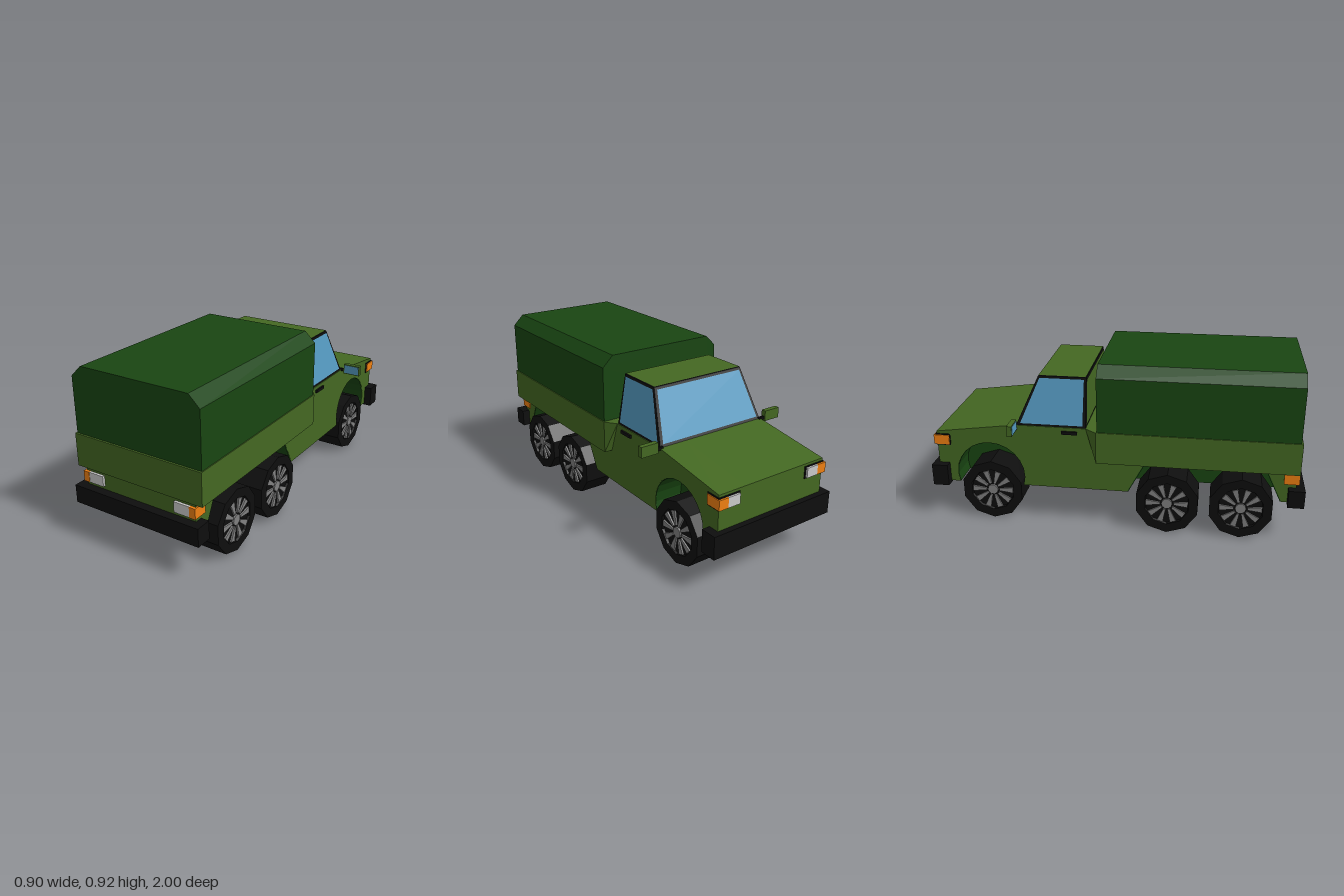
import * as THREE from 'three';
import { ConvexGeometry } from 'three/addons/geometries/ConvexGeometry.js';

const mat = (color, side = THREE.FrontSide) =>
  new THREE.MeshStandardMaterial({ color, flatShading: true, side });

const V = (x, y, z) => new THREE.Vector3(x, y, z);

export function createModel() {
  const green = mat(0x446822), canvas = mat(0x194512), black = mat(0x0e0e0e);
  const archGreen = mat(0x194512, THREE.DoubleSide);
  const glass = mat(0x559ac1), orange = mat(0xf08012), grey = mat(0xcccccc), alloy = mat(0x808080);
  const model = new THREE.Group();
  model.name = 'truck';

  const add = (name, geometry, material, parent = model) => {
    const mesh = new THREE.Mesh(geometry, material);
    mesh.name = name;
    parent.add(mesh);
    return mesh;
  };

  // Box given by its limits
  const box = (name, [x0, x1], [y0, y1], [z0, z1], material, parent) =>
    add(name, new THREE.BoxGeometry(Math.abs(x1 - x0), y1 - y0, z1 - z0)
      .translate((x0 + x1) / 2, (y0 + y1) / 2, (z0 + z1) / 2), material, parent);

  // Side outline of [z, y] points, extruded from x0 to x1
  const shapeOf = (pts) => new THREE.Shape(pts.map(([z, y]) => new THREE.Vector2(z, y)));
  const sideExtrude = (name, pts, x0, x1, material) =>
    add(name, new THREE.ExtrudeGeometry(shapeOf(pts), { depth: x1 - x0, bevelEnabled: false })
      .rotateY(-Math.PI / 2).translate(x1, 0, 0), material);

  // Wheel arch outlines, listed from nose to tail
  const frontArch = [];
  for (let i = 0; i <= 14; i++) {
    const a = THREE.MathUtils.degToRad(197 - (214 * i) / 14);
    frontArch.push([-0.68 + 0.19 * Math.cos(a), 0.2655 + 0.19 * Math.sin(a)]);
  }
  const rearArch = [[0.07, 0.21], [0.165, 0.39], [0.8, 0.39], [0.885, 0.21]];

  // Lower body: full core, with cut-out flanks on either side
  const bodyTop = [[0.955, 0.21], [0.955, 0.4], [-0.094, 0.4], [-0.15, 0.565], [-0.53, 0.565], [-0.97, 0.505]];
  sideExtrude('bodyCore', [[-0.97, 0.21], ...bodyTop], -0.17, 0.17, green);
  for (const s of [-1, 1]) {
    const [x0, x1] = s > 0 ? [0.17, 0.33] : [-0.33, -0.17];
    sideExtrude('bodyFlank', [[-0.97, 0.21], ...frontArch, ...rearArch, ...bodyTop], x0, x1, green);
    for (const [arch, cz] of [[frontArch, -0.68], [rearArch, 0.48]]) {
      const inner = arch.map(([z, y]) => [cz + (z - cz) * 0.985, 0.21 + (y - 0.21) * 0.985]);
      sideExtrude('archLiner', [...arch, ...inner.reverse()], x0 + 0.001, x1 - 0.001, archGreen);
      add('archWall', new THREE.ShapeGeometry(shapeOf(arch)).rotateY(-Math.PI / 2)
        .translate(s * 0.172, 0, 0), archGreen);
    }
  }

  // Load bed, tapering forward to the cab
  const bedPoints = [];
  for (const s of [-1, 1]) {
    for (const z of [-0.09, 0.965]) for (const y of [0.39, 0.565]) bedPoints.push(V(s * 0.375, y, z));
    bedPoints.push(V(s * 0.33, 0.565, -0.15));
  }
  add('loadBed', new ConvexGeometry(bedPoints), green);

  // Canvas cover with chamfered top edges
  const cover = new THREE.Shape([[-0.37, 0.56], [0.37, 0.56], [0.37, 0.86], [0.31, 0.918], [-0.31, 0.918], [-0.37, 0.86]]
    .map(([x, y]) => new THREE.Vector2(x, y)));
  add('canvasCover', new THREE.ExtrudeGeometry(cover, { depth: 1.04, bevelEnabled: false })
    .translate(0, 0, -0.085), canvas);

  // Cab: black frame with panels laid onto its faces
  const [B, T] = [0.565, 0.83];
  const cab = (s, top, rear) => top
    ? V(s * 0.277, T, rear ? -0.15 : -0.405)
    : V(s * 0.325, B, rear ? -0.15 : -0.525);
  const cabCorners = [];
  for (const s of [-1, 1]) for (const t of [0, 1]) for (const r of [0, 1]) cabCorners.push(cab(s, t, r));
  add('cabFrame', new ConvexGeometry(cabCorners), black);

  // Panel on a four-cornered face (counter-clockwise), inset by a margin
  const panel = (name, [a, b, c, d], margin, material) => {
    const normal = b.clone().sub(a).cross(d.clone().sub(a)).normalize().multiplyScalar(0.003);
    const u = margin / Math.min(a.distanceTo(b), c.distanceTo(d));
    const v = margin / a.distanceTo(d);
    const at = (p, q) => a.clone().lerp(b, p).lerp(d.clone().lerp(c, p), q).add(normal);
    const pts = [at(u, v), at(1 - u, v), at(1 - u, 1 - v), at(u, 1 - v)];
    const g = new THREE.BufferGeometry().setFromPoints(pts);
    g.setIndex([0, 1, 2, 0, 2, 3]);
    g.computeVertexNormals();
    add(name, g, material);
  };
  panel('windshield', [cab(1, 0, 0), cab(-1, 0, 0), cab(-1, 1, 0), cab(1, 1, 0)], 0.014, glass);
  panel('leftWindow', [cab(1, 0, 1), cab(1, 0, 0), cab(1, 1, 0), cab(1, 1, 1)], 0.012, glass);
  panel('rightWindow', [cab(-1, 0, 0), cab(-1, 0, 1), cab(-1, 1, 1), cab(-1, 1, 0)], 0.012, glass);
  panel('cabBack', [cab(-1, 0, 1), cab(1, 0, 1), cab(1, 1, 1), cab(-1, 1, 1)], 0.012, green);
  panel('cabRoof', [cab(-1, 1, 1), cab(1, 1, 1), cab(1, 1, 0), cab(-1, 1, 0)], 0.002, green);

  // Bumpers
  box('frontBumper', [-0.373, 0.373], [0.2, 0.32], [-1, -0.912], black);
  box('rearBumper', [-0.373, 0.373], [0.2, 0.297], [0.915, 1], black);

  // Lights, door handles and mirrors on both sides
  for (const s of [-1, 1]) {
    box('headlightHousing', [s * 0.208, s * 0.335], [0.427, 0.492], [-0.975, -0.895], black);
    box('headlight', [s * 0.215, s * 0.285], [0.433, 0.486], [-0.985, -0.96], grey);
    box('frontIndicator', [s * 0.285, s * 0.34], [0.433, 0.486], [-0.985, -0.9], orange);
    box('rearLight', [s * 0.215, s * 0.303], [0.317, 0.373], [0.94, 0.968], grey);
    box('rearIndicator', [s * 0.303, s * 0.338], [0.317, 0.373], [0.89, 0.97], orange);
    box('doorHandle', [s * 0.325, s * 0.34], [0.529, 0.546], [-0.28, -0.195], black);
    box('mirrorArm', [s * 0.315, s * 0.36], [0.558, 0.574], [-0.535, -0.522], black);
    box('mirror', [s * 0.35, s * 0.448], [0.549, 0.606], [-0.542, -0.515], green);
    box('mirrorGlass', [s * 0.355, s * 0.443], [0.554, 0.601], [-0.52, -0.513], glass);
  }

  // Wheels: ten-sided tyre with a shallow recess, spokes and hub cap
  const R = 0.172, W = 0.08;
  const tyre = new THREE.LatheGeometry(
    [[0, -W], [R, -W], [R, W], [0.122, W], [0.118, W - 0.012], [0, W - 0.012]]
      .map(([r, y]) => new THREE.Vector2(r, y)), 10, Math.PI / 10).rotateZ(-Math.PI / 2);
  const spoke = new THREE.ExtrudeGeometry(
    shapeOf([[-0.006, 0.036], [0.006, 0.036], [0.016, 0.112], [-0.016, 0.112]]),
    { depth: 0.01, bevelEnabled: false }).rotateY(-Math.PI / 2).translate(W - 0.003, 0, 0);
  const hub = new THREE.CylinderGeometry(0.029, 0.029, 0.012, 10)
    .rotateZ(-Math.PI / 2).translate(W - 0.008, 0, 0);
  for (const s of [-1, 1]) {
    for (const [name, x, z] of [['frontWheel', 0.259, -0.677], ['middleWheel', 0.29, 0.288], ['rearWheel', 0.29, 0.677]]) {
      const wheel = new THREE.Group();
      wheel.name = name;
      add('tyre', tyre, black, wheel);
      add('hubCap', hub, alloy, wheel);
      for (let i = 0; i < 10; i++) {
        add('spoke', spoke, alloy, wheel).rotation.x = ((i + 0.5) * Math.PI) / 5;
      }
      wheel.position.set(s * x, R, z);
      if (s < 0) wheel.rotation.y = Math.PI;
      model.add(wheel);
    }
  }
  return model;
}
